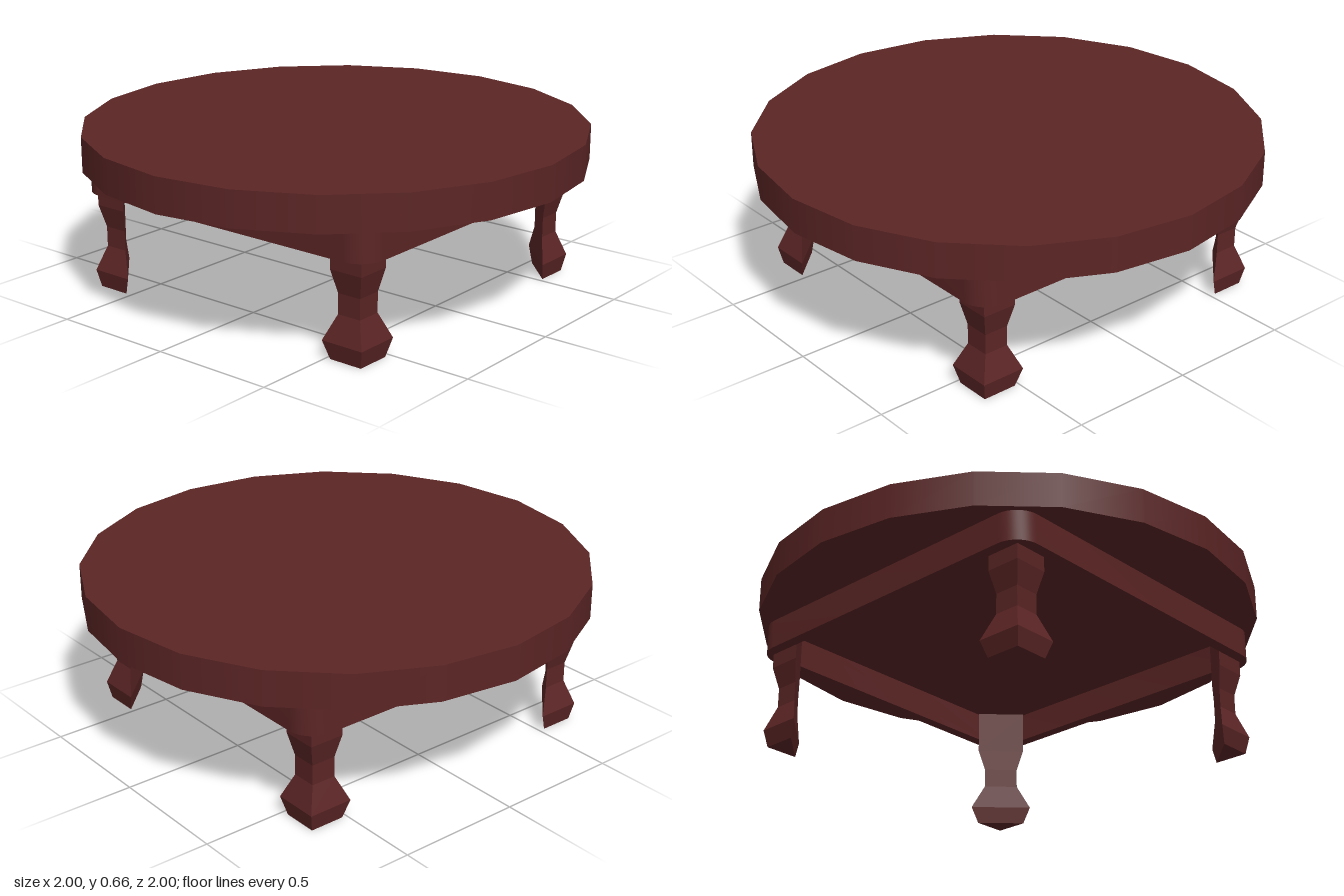
import * as THREE from 'three';
import { toCreasedNormals } from 'three/addons/utils/BufferGeometryUtils.js';

// Rounded square outline, centred on the origin
function roundedSquare(path, h, r) {
  path.moveTo(h - r, -h);
  path.absarc(h - r, -h + r, r, -Math.PI / 2, 0);
  path.absarc(h - r, h - r, r, 0, Math.PI / 2);
  path.absarc(-h + r, h - r, r, Math.PI / 2, Math.PI);
  path.absarc(-h + r, -h + r, r, Math.PI, Math.PI * 1.5);
  path.closePath();
  return path;
}

// Triangular leg: right angle at the outer corner, flat diagonal face inwards
function legGeometry() {
  // [height, inner, outer] from the floor up
  const levels = [
    [0, 0.522, 0.662], [0.07, 0.495, 0.676], [0.17, 0.541, 0.641],
    [0.25, 0.541, 0.641], [0.34, 0.522, 0.662], [0.52, 0.522, 0.662],
  ];
  const rings = levels.map(([y, lo, hi]) => [[hi, y, hi], [hi, y, lo], [lo, y, hi]]);
  const pos = [];
  const tri = (a, b, c) => pos.push(...a, ...b, ...c);
  for (let i = 0; i < rings.length - 1; i++) {
    for (let j = 0; j < 3; j++) {
      const k = (j + 1) % 3, low = rings[i], up = rings[i + 1];
      tri(low[j], low[k], up[k]);
      tri(low[j], up[k], up[j]);
    }
  }
  const bottom = rings[0], top = rings[rings.length - 1];
  tri(bottom[2], bottom[1], bottom[0]);
  tri(top[0], top[1], top[2]);
  const geo = new THREE.BufferGeometry();
  geo.setAttribute('position', new THREE.Float32BufferAttribute(pos, 3));
  geo.computeVertexNormals();
  return geo;
}

export function createModel() {
  const group = new THREE.Group();
  group.name = 'roundTable';
  const wood = new THREE.MeshStandardMaterial({ color: 0x5c2525 });
  wood.name = 'dark red wood';

  // Twenty-sided top
  const top = new THREE.Mesh(new THREE.CylinderGeometry(1, 1, 0.14, 20), wood);
  top.name = 'tableTop';
  top.position.y = 0.59;
  group.add(top);

  // Hollow apron with rounded corners
  const outline = roundedSquare(new THREE.Shape(), 0.711, 0.1);
  outline.holes.push(roundedSquare(new THREE.Path(), 0.665, 0.055));
  const apronGeo = new THREE.ExtrudeGeometry(outline, { depth: 0.12, bevelEnabled: false, curveSegments: 6 });
  apronGeo.rotateX(-Math.PI / 2);
  const apron = new THREE.Mesh(toCreasedNormals(apronGeo, 0.6), wood);
  apron.name = 'apron';
  apron.position.y = 0.4;
  group.add(apron);

  // Four legs, turned about the centre
  const legs = new THREE.Group();
  legs.name = 'legs';
  legs.position.set(-0.004, 0, 0.003);
  const legGeo = legGeometry();
  ['frontLeftLeg', 'backLeftLeg', 'backRightLeg', 'frontRightLeg'].forEach((name, i) => {
    const leg = new THREE.Mesh(legGeo, wood);
    leg.name = name;
    leg.rotation.y = i * Math.PI / 2;
    legs.add(leg);
  });
  group.add(legs);

  return group;
}
